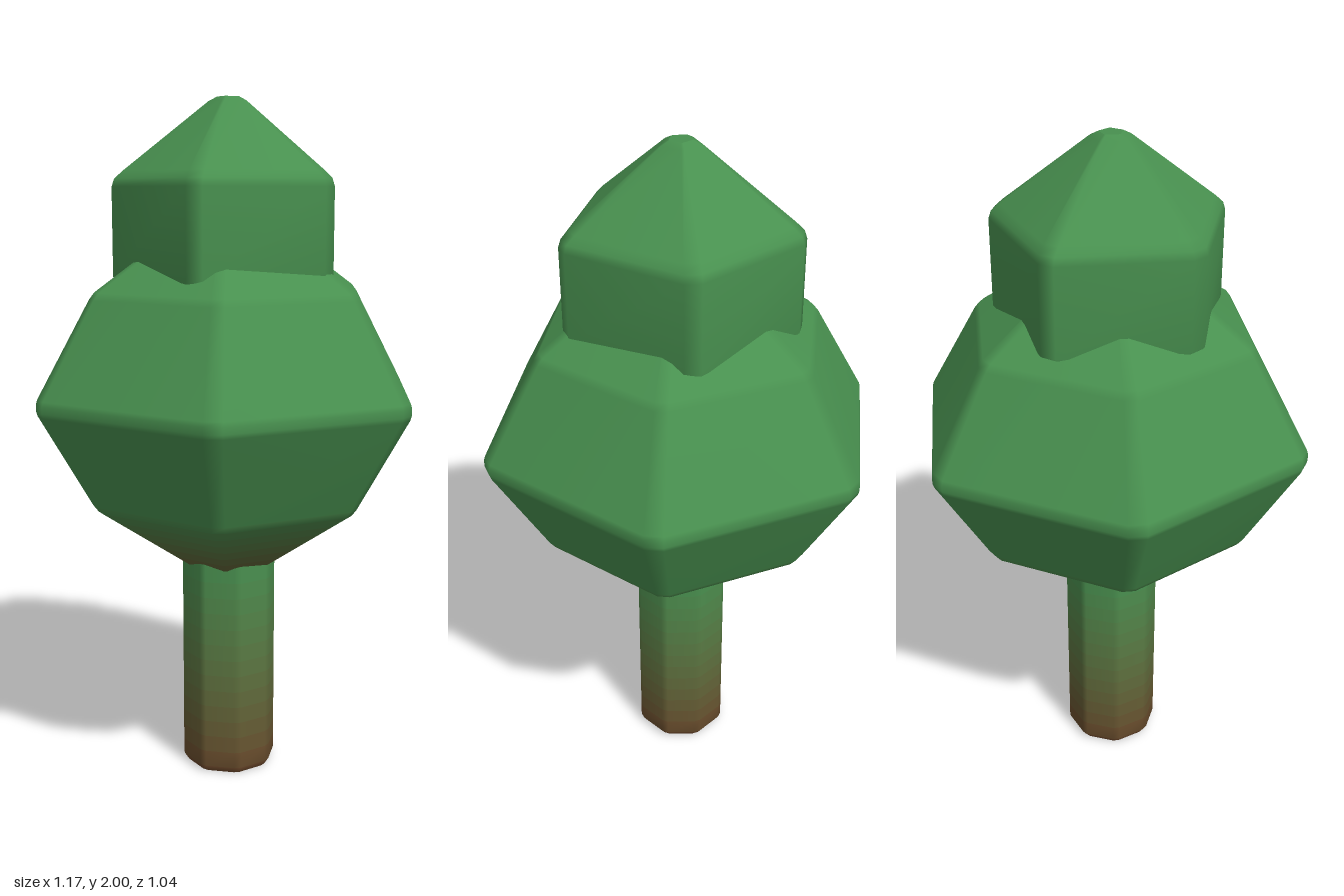
import * as THREE from 'three';

const LEAF = new THREE.Color(0x48904f);
const BARK = new THREE.Color(0x6b4529);

// Regular polygon of radius 1 whose corners are cut off by a share of each edge
function bevelledPolygon(sides, cut) {
  const points = [];
  const corner = (i) => {
    const a = (i / sides) * Math.PI * 2;
    return new THREE.Vector2(Math.cos(a), -Math.sin(a));
  };
  for (let i = 0; i < sides; i++) {
    points.push(corner(i).lerp(corner(i - 1), cut), corner(i).lerp(corner(i + 1), cut));
  }
  return points;
}

// Stacks scaled copies of the outline at [radius, y]; each band takes its own colour
function stack(name, outline, rings, colorAt) {
  const n = outline.length;
  const positions = [], index = [], materials = [];
  const geometry = new THREE.BufferGeometry();
  const addRing = ([r, y]) => outline.forEach((p) => positions.push(p.x * r, y, p.y * r));
  const addGroup = (start, y) => {
    geometry.addGroup(start, index.length - start, materials.length);
    materials.push(new THREE.MeshStandardMaterial({ color: colorAt(y) }));
  };

  rings.forEach(addRing);
  for (let j = 0; j < rings.length - 1; j++) {
    const start = index.length;
    for (let i = 0; i < n; i++) {
      const a = j * n + i, b = j * n + ((i + 1) % n);
      index.push(a, b, b + n, a, b + n, a + n);
    }
    addGroup(start, (rings[j][1] + rings[j + 1][1]) / 2);
  }

  // Flat end caps with their own corners
  for (const top of [false, true]) {
    const ring = top ? rings[rings.length - 1] : rings[0];
    const base = positions.length / 3, start = index.length;
    addRing(ring);
    for (let i = 1; i < n - 1; i++) {
      if (top) index.push(base, base + i, base + i + 1);
      else index.push(base, base + i + 1, base + i);
    }
    addGroup(start, ring[1]);
  }

  geometry.setAttribute('position', new THREE.Float32BufferAttribute(positions, 3));
  geometry.setIndex(index);
  geometry.computeVertexNormals();
  const mesh = new THREE.Mesh(geometry, materials);
  mesh.name = name;
  return mesh;
}

// Rings evenly spaced between two [radius, y] pairs, leaving out the last one
function between(from, to, steps) {
  return Array.from({ length: steps }, (_, i) => [
    THREE.MathUtils.lerp(from[0], to[0], i / steps),
    THREE.MathUtils.lerp(from[1], to[1], i / steps),
  ]);
}

// Brown at height low, fading to green at height high
const fade = (low, high) => (y) =>
  BARK.clone().lerp(LEAF, THREE.MathUtils.clamp((y - low) / (high - low), 0, 1));

export function createModel() {
  const tree = new THREE.Group();
  tree.name = 'tree';

  // Eight-sided trunk with a bevelled foot
  tree.add(stack('trunk', bevelledPolygon(8, 0.1), [
    [0.13, 0],
    ...between([0.144, 0.02], [0.144, 0.7], 14),
    [0.144, 0.7],
  ], fade(0, 0.64)));

  // Six-sided main crown, browned underneath
  tree.add(stack('lowerFoliage', bevelledPolygon(6, 0.05), [
    ...between([0.04, 0.575], [0.42, 0.83], 8),
    [0.42, 0.83], [0.436, 0.85],
    [0.596, 1.122], [0.6, 1.135], [0.6, 1.155], [0.596, 1.168],
    [0.436, 1.44], [0.42, 1.46],
    [0.04, 1.715],
  ], fade(0.56, 0.86)));

  // Five-sided pointed cap
  tree.add(stack('upperFoliage', bevelledPolygon(5, 0.07), [
    [0.32, 1.465], [0.352, 1.495],
    [0.352, 1.75], [0.344, 1.772], [0.32, 1.793],
    [0.06, 1.988], [0.035, 2],
  ], () => LEAF));

  return tree;
}
